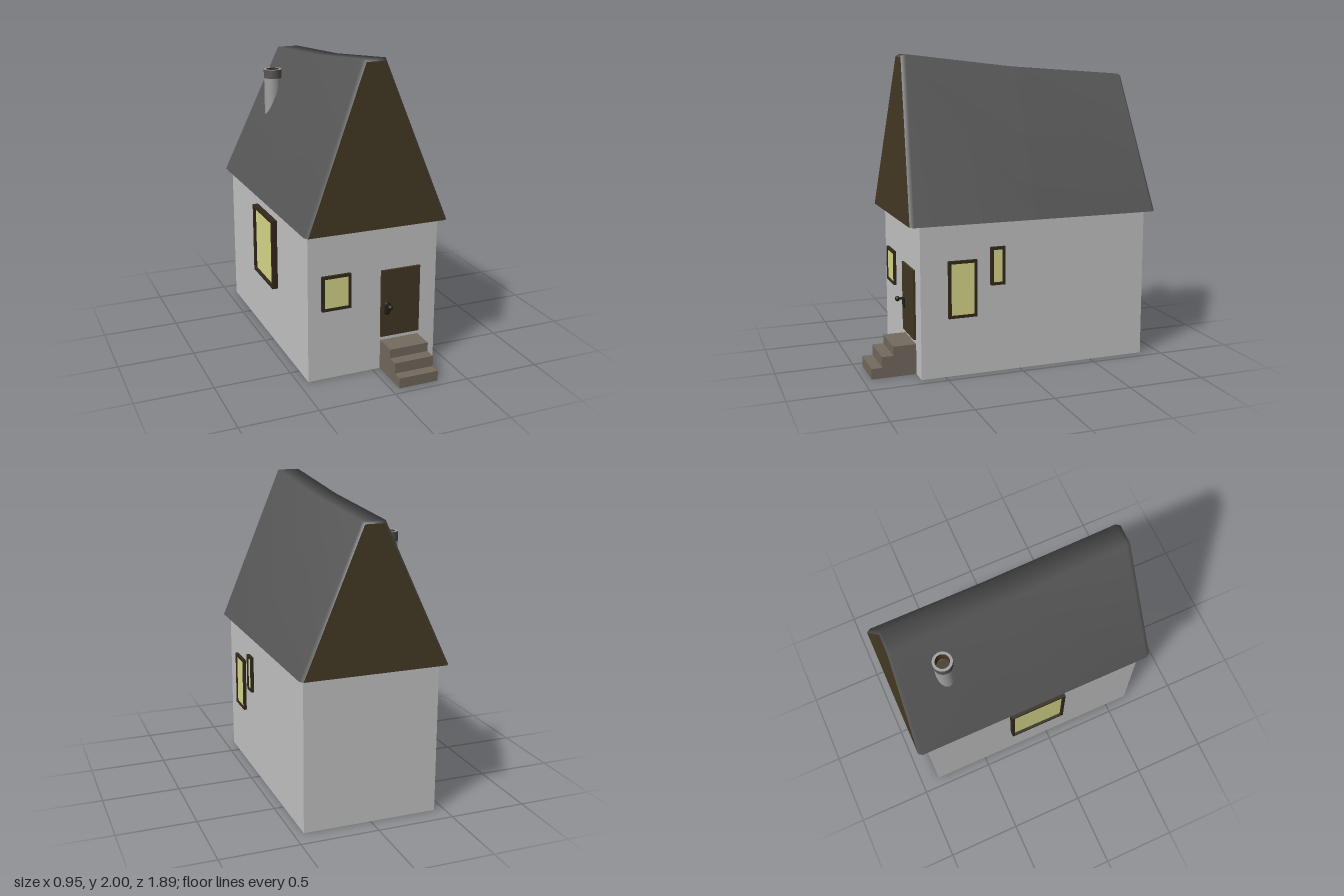
import * as THREE from 'three';

const mat = (name, color, side = THREE.FrontSide) => {
  const m = new THREE.MeshStandardMaterial({ color, side });
  m.name = name;
  return m;
};

export function createModel() {
  const wallMat = mat('plaster', 0xc6c6c6, THREE.DoubleSide);
  const roofMat = mat('slate', 0x575757, THREE.DoubleSide);
  const woodMat = mat('darkWood', 0x433823, THREE.DoubleSide);
  const trimMat = mat('windowFrame', 0x342a1c);
  const glassMat = mat('litGlass', 0xdadb8c);
  const stoneMat = mat('stepStone', 0x746a5f);
  const ironMat = mat('iron', 0x241f18);
  const fluMat = mat('chimneyMetal', 0xa0a0a0, THREE.DoubleSide);

  const house = new THREE.Group();
  house.name = 'house';
  const add = (name, geo, material, x = 0, y = 0, z = 0, parent = house) => {
    const m = new THREE.Mesh(geo, material);
    m.name = name;
    m.position.set(x, y, z);
    parent.add(m);
    return m;
  };
  const surface = (points, index) => {
    const g = new THREE.BufferGeometry();
    g.setAttribute('position', new THREE.Float32BufferAttribute(points.flat(), 3));
    g.setIndex(index);
    g.computeVertexNormals();
    return g;
  };

  // Four walls, open underneath
  const W = 0.437, FRONT = 0.657, BACK = -0.875, EAVE = 0.975;
  const wall = (name, width, x, z, turn) => {
    add(name, new THREE.PlaneGeometry(width, EAVE), wallMat, x, EAVE / 2, z).rotation.y = turn;
  };
  const midZ = (FRONT + BACK) / 2;
  wall('frontWall', W * 2, 0, FRONT, 0);
  wall('backWall', W * 2, 0, BACK, Math.PI);
  wall('leftWall', FRONT - BACK, W, midZ, Math.PI / 2);
  wall('rightWall', FRONT - BACK, -W, midZ, -Math.PI / 2);

  // Roof: trapezoid sections from front to back, with bevelled ends and a sagging ridge
  // [eave z, ridge z, ridge y, inset]
  const sections = [
    [0.725, 0.66, 1.985, 0.018],
    [0.7, 0.63, 2.0, 0],
    [-0.1, -0.1, 1.915, 0],
    [-0.915, -0.855, 1.86, 0],
    [-0.94, -0.875, 1.845, 0.018],
  ].map(([ez, rz, ry, inset]) => {
    const e = 0.475 - inset, r = 0.073 - inset * 0.6;
    return [[e, EAVE, ez], [r, ry, rz], [-r, ry, rz], [-e, EAVE, ez]];
  });
  const index = [];
  for (let s = 0; s < sections.length - 1; s++) {
    for (let i = 0; i < 3; i++) {
      const a = s * 4 + i, b = a + 4;
      index.push(a, b, a + 1, b, b + 1, a + 1);
    }
  }
  add('roof', surface(sections.flat(), index), roofMat);

  // Underside of the roof
  const under = sections.flatMap((s) => [s[0], s[3]]);
  const underIndex = [];
  for (let s = 0; s < sections.length - 1; s++) {
    const a = s * 2;
    underIndex.push(a, a + 1, a + 2, a + 1, a + 3, a + 2);
  }
  add('roofUnderside', surface(under, underIndex), roofMat);

  // Wooden gables close both ends
  add('frontGable', surface(sections[0], [0, 1, 2, 0, 2, 3]), woodMat);
  add('backGable', surface(sections[4], [0, 2, 1, 0, 3, 2]), woodMat);

  // Chimney pipe with a darker collar and hollow top
  const pipe = (r0, y0, r1, y1) =>
    new THREE.LatheGeometry([new THREE.Vector2(r0, y0), new THREE.Vector2(r1, y1)], 24);
  const chimney = new THREE.Group();
  chimney.name = 'chimney';
  chimney.position.set(-0.205, 0, -0.6);
  house.add(chimney);
  add('chimneyPipe', pipe(0.06, 1.3, 0.06, 1.69), fluMat, 0, 0, 0, chimney);
  add('chimneyCollar', pipe(0.062, 1.69, 0.062, 1.75), roofMat, 0, 0, 0, chimney);
  add('chimneyRim', pipe(0.062, 1.75, 0.045, 1.75), fluMat, 0, 0, 0, chimney);
  add('chimneyLining', pipe(0.045, 1.75, 0.045, 1.6), woodMat, 0, 0, 0, chimney);
  const soot = add('chimneySoot', new THREE.CircleGeometry(0.046, 24), woodMat, 0, 1.66, 0, chimney);
  soot.rotation.x = -Math.PI / 2;

  // Framed windows, built facing +z and turned to their wall
  const addWindow = (name, w, h, depth, x, y, z, turn) => {
    const g = new THREE.Group();
    g.name = name;
    g.position.set(x, y, z);
    g.rotation.y = turn;
    house.add(g);
    const bar = 0.018;
    for (const s of [-1, 1]) {
      add('frameRail', new THREE.BoxGeometry(w, bar, depth), trimMat, 0, s * (h - bar) / 2, depth / 2, g);
      add('frameStile', new THREE.BoxGeometry(bar, h - bar * 2, depth), trimMat, s * (w - bar) / 2, 0, depth / 2, g);
    }
    add('pane', new THREE.BoxGeometry(w - bar * 2, h - bar * 2, 0.008), glassMat, 0, 0, depth * 0.45, g);
  };
  addWindow('frontWindow', 0.195, 0.23, 0.018, -0.252, 0.58, FRONT, 0);
  addWindow('leftLargeWindow', 0.187, 0.365, 0.02, W, 0.563, 0.388, Math.PI / 2);
  addWindow('leftSmallWindow', 0.095, 0.245, 0.02, W, 0.693, 0.155, Math.PI / 2);
  addWindow('rightWindow', 0.39, 0.475, 0.038, -W, 0.652, -0.09, -Math.PI / 2);

  // Door with handle
  add('door', new THREE.BoxGeometry(0.268, 0.45, 0.03), woodMat, 0.185, 0.45, FRONT);
  add('handlePlate', new THREE.CapsuleGeometry(0.022, 0.045, 4, 12), ironMat, 0.093, 0.418, 0.674)
    .scale.z = 0.4;
  const stem = add('handleStem', new THREE.CylinderGeometry(0.008, 0.008, 0.05, 10), ironMat, 0.093, 0.44, 0.69);
  stem.rotation.x = Math.PI / 2;
  add('doorknob', new THREE.SphereGeometry(0.017, 14, 10), ironMat, 0.093, 0.44, 0.716);

  // Stone steps as one stepped profile
  const profile = new THREE.Shape([
    [0.64, 0], [0.947, 0], [0.947, 0.068], [0.878, 0.068],
    [0.878, 0.138], [0.805, 0.138], [0.805, 0.197], [0.64, 0.197],
  ].map(([z, y]) => new THREE.Vector2(z, y)));
  const steps = new THREE.ExtrudeGeometry(profile, { depth: 0.265, bevelEnabled: false });
  add('steps', steps, stoneMat, 0.318, 0, 0).rotation.y = -Math.PI / 2;

  return house;
}
